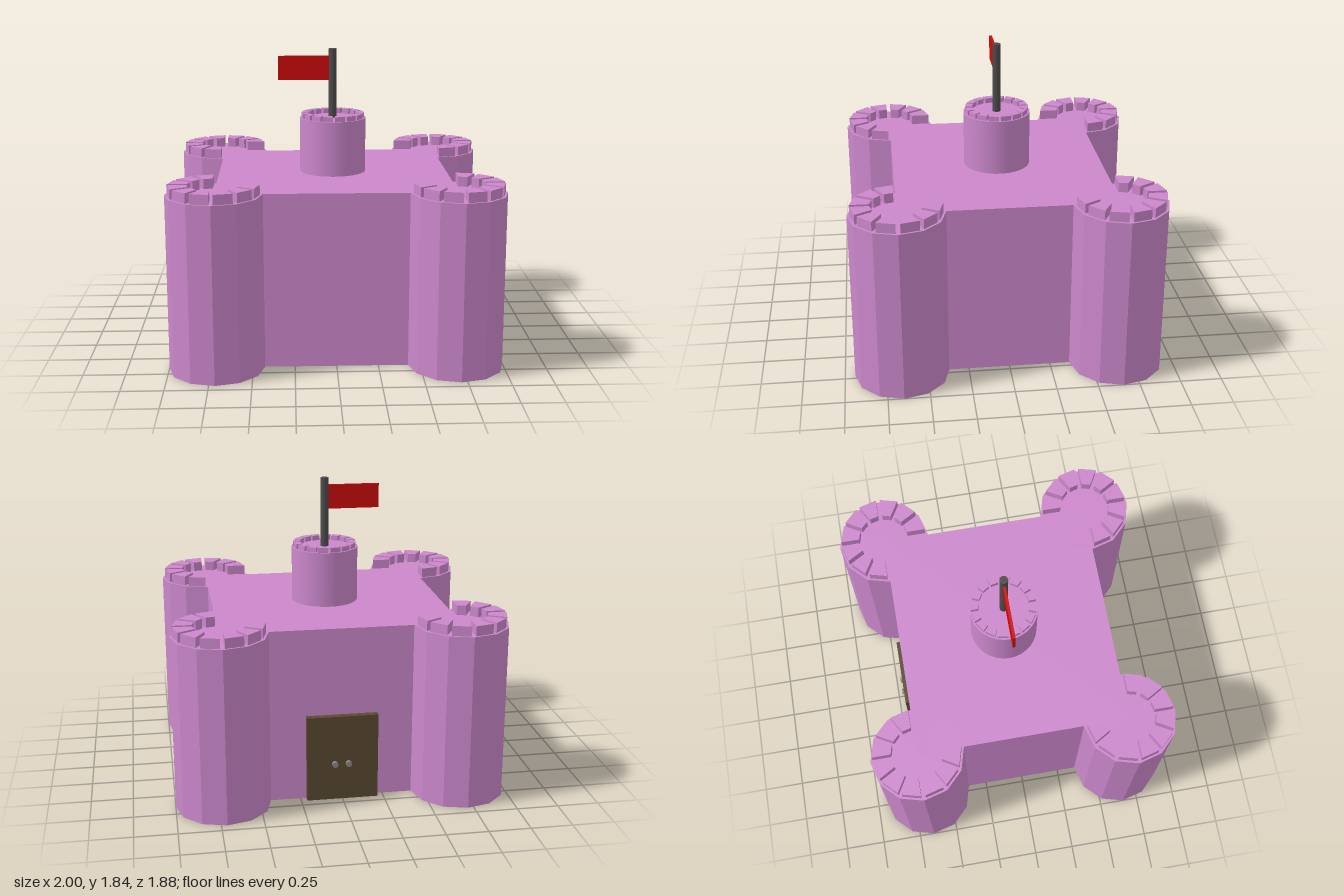
import * as THREE from 'three';

const stone = new THREE.MeshStandardMaterial({ color: 0xcc88cc, flatShading: true });
const smoothStone = new THREE.MeshStandardMaterial({ color: 0xcc88cc });
const iron = new THREE.MeshStandardMaterial({ color: 0x4c4c4c });
const red = new THREE.MeshStandardMaterial({ color: 0xcc0a0a });
const wood = new THREE.MeshStandardMaterial({ color: 0x5a4a30 });
const steel = new THREE.MeshStandardMaterial({ color: 0x888888 });

const WALL_H = 1.065, WALL_X = 0.715, WALL_Z = 0.655;

function addMesh(parent, name, geometry, material, x = 0, y = 0, z = 0) {
  const mesh = new THREE.Mesh(geometry, material);
  mesh.name = name;
  mesh.position.set(x, y, z);
  parent.add(mesh);
  return mesh;
}

// Wedge block covering one facet of a ring, with a parallel gap at each side
function merlonGeometry(count, outer, inner, gap, height) {
  const half = Math.PI / count;
  const corner = (r, s) => new THREE.Vector2(r * Math.cos(half), s * (r * Math.sin(half) - gap / Math.cos(half)));
  const shape = new THREE.Shape([corner(inner, -1), corner(outer, -1), corner(outer, 1), corner(inner, 1)]);
  return new THREE.ExtrudeGeometry(shape, { depth: height, bevelEnabled: false }).rotateX(-Math.PI / 2);
}

// Ring of merlons; keep(dx, dz) decides which directions get one
function addBattlement(parent, y, count, geometry, keep = () => true) {
  for (let i = 0; i < count; i++) {
    const a = ((i + 0.5) / count) * Math.PI * 2;
    if (keep(Math.cos(a), Math.sin(a))) {
      addMesh(parent, 'merlon', geometry, stone, 0, y, 0).rotation.y = -a;
    }
  }
}

export function createModel() {
  const castle = new THREE.Group();
  castle.name = 'castle';

  // Main block
  addMesh(castle, 'keep', new THREE.BoxGeometry(WALL_X * 2, WALL_H, WALL_Z * 2), stone, 0, WALL_H / 2, 0);

  // Four corner towers, open battlement towards the courtyard roof
  const towerGeo = new THREE.CylinderGeometry(0.285, 0.285, WALL_H, 12);
  const towerMerlon = merlonGeometry(12, 0.272, 0.158, 0.013, 0.06);
  for (const sx of [-1, 1]) {
    for (const sz of [-1, 1]) {
      const tower = new THREE.Group();
      tower.name = 'cornerTower';
      tower.position.set(sx * WALL_X, 0, sz * WALL_Z);
      addMesh(tower, 'towerWall', towerGeo, stone, 0, WALL_H / 2, 0);
      addBattlement(tower, WALL_H, 12, towerMerlon, (dx, dz) => dx * sx > 0 || dz * sz > 0);
      castle.add(tower);
    }
  }

  // Round central turret
  const turret = new THREE.Group();
  turret.name = 'turret';
  addMesh(turret, 'turretWall', new THREE.CylinderGeometry(0.206, 0.206, 0.34, 32), smoothStone, 0, WALL_H + 0.17, 0);
  addBattlement(turret, 1.405, 16, merlonGeometry(16, 0.198, 0.155, 0.007, 0.03));
  castle.add(turret);

  // Flagpole and flag
  addMesh(castle, 'flagpole', new THREE.CylinderGeometry(0.025, 0.025, 0.435, 16), iron, 0, 1.6175, 0);
  addMesh(castle, 'flag', new THREE.BoxGeometry(0.34, 0.15, 0.016), red, -0.17, 1.715, 0);

  // Back door with two knobs
  addMesh(castle, 'door', new THREE.BoxGeometry(0.43, 0.53, 0.06), wood, 0, 0.265, -0.665);
  const knobGeo = new THREE.CylinderGeometry(0.018, 0.018, 0.03, 12).rotateX(Math.PI / 2);
  for (const x of [-0.036, 0.047]) addMesh(castle, 'doorKnob', knobGeo, steel, x, 0.23, -0.701);

  return castle;
}
